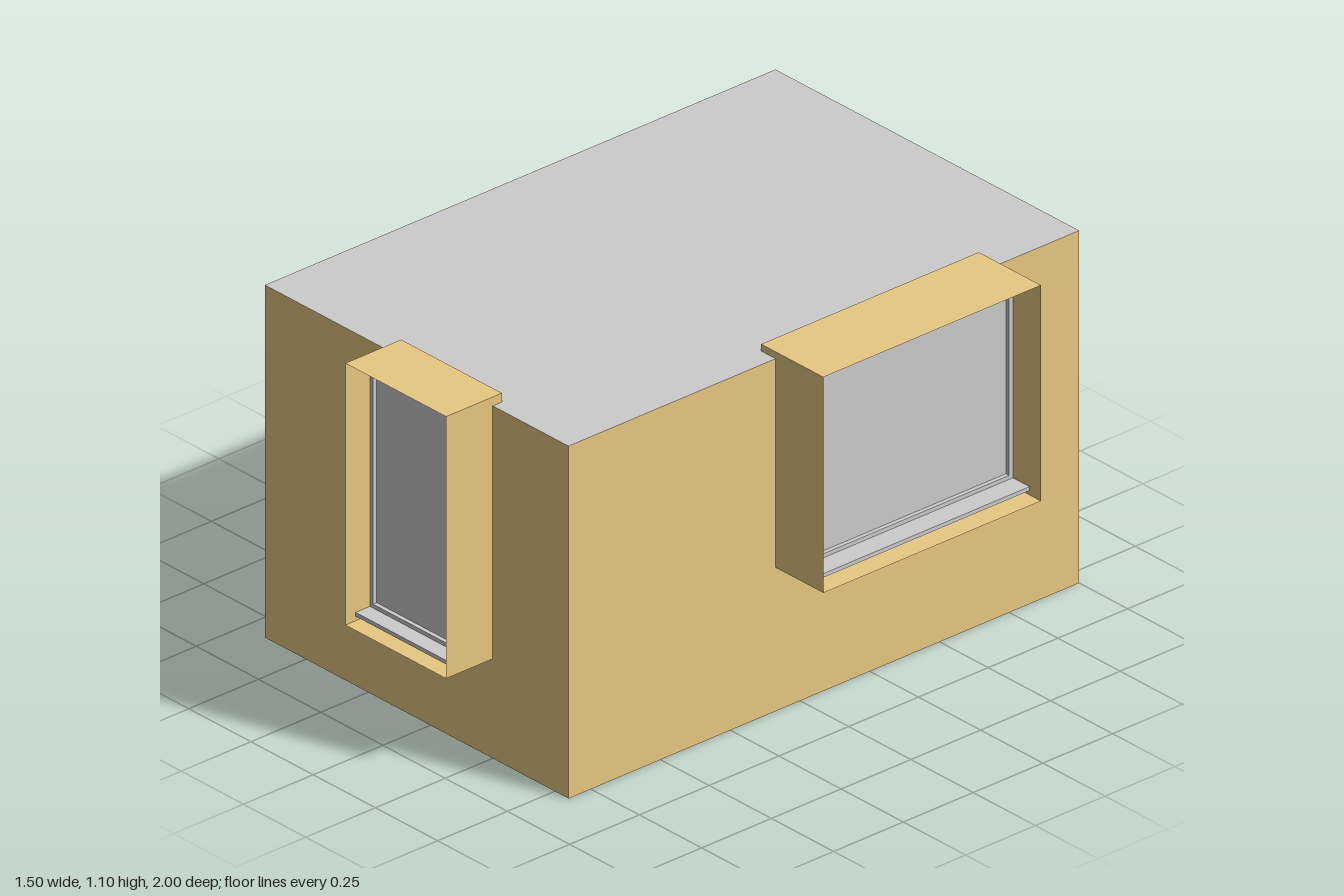
import * as THREE from 'three';

const tan = new THREE.MeshStandardMaterial({ color: 0xe8c882 });
const tanSheet = new THREE.MeshStandardMaterial({ color: 0xe8c882, side: THREE.DoubleSide });
const grey = new THREE.MeshStandardMaterial({ color: 0xcccccc });
const greySheet = new THREE.MeshStandardMaterial({ color: 0xcccccc, side: THREE.DoubleSide });
const green = new THREE.MeshStandardMaterial({ color: 0x68dc22 });

// Box given by its two extreme corners
function box(parent, name, [x0, y0, z0], [x1, y1, z1], material) {
  const mesh = new THREE.Mesh(new THREE.BoxGeometry(x1 - x0, y1 - y0, z1 - z0), material);
  mesh.position.set((x0 + x1) / 2, (y0 + y1) / 2, (z0 + z1) / 2);
  mesh.name = name;
  parent.add(mesh);
  return mesh;
}

// Thin sheet facing x, y or z; u and v are its sizes across
function sheet(parent, name, axis, u, v, position, material) {
  const mesh = new THREE.Mesh(new THREE.PlaneGeometry(u, v), material);
  if (axis === 'x') mesh.rotation.y = Math.PI / 2;
  if (axis === 'y') mesh.rotation.x = -Math.PI / 2;
  mesh.position.set(...position);
  mesh.name = name;
  parent.add(mesh);
}

// Four slim bars around an opening of half width w, in the depth range z0..z1
function frame(parent, name, w, h, t, z0, z1, y0 = 0) {
  for (const s of [-1, 1]) {
    box(parent, name + 'Side', [s > 0 ? w - t : -w, y0, z0], [s > 0 ? w : -w + t, h, z1], grey);
  }
  box(parent, name + 'Top', [-w + t, h - t, z0], [w - t, h, z1], grey);
}

// Projecting window surround: outward is +z, d is its full depth, wall the wall's depth
function windowBay(name, width, height, d, wall) {
  const bay = new THREE.Group();
  bay.name = name;
  const w = width / 2;
  const glassZ = d * 0.5, fasciaZ = d * 0.6, noseZ = d * 0.82;
  for (const s of [-1, 1]) {
    sheet(bay, 'sidePanel', 'x', d, height, [s * w, height / 2, d / 2], tanSheet);
  }
  sheet(bay, 'canopy', 'y', width, d, [0, height, d / 2], tanSheet);
  sheet(bay, 'canopyBack', 'z', width, 0.025, [0, height - 0.0125, 0], tanSheet);
  sheet(bay, 'bottomPanel', 'y', width, d - fasciaZ, [0, 0, (d + fasciaZ) / 2], tanSheet);

  sheet(bay, 'pane', 'z', width, height, [0, height / 2, glassZ], greySheet);
  frame(bay, 'paneFrame', w - 0.001, height - 0.001, 0.013, glassZ, glassZ + 0.013, 0.025);
  box(bay, 'paneFrameBottom', [-w + 0.014, 0.025, glassZ], [w - 0.014, 0.038, glassZ + 0.013], grey);

  // Sill with a nose over its lower fascia
  box(bay, 'sillBase', [-w + 0.001, 0, wall], [w - 0.001, 0.014, fasciaZ], grey);
  box(bay, 'sill', [-w + 0.001, 0.014, wall], [w - 0.001, 0.026, noseZ], grey);
  return bay;
}

// Door in a shallow surround: outward is +z, the wall is at z = 0
function doorway(width, height, d) {
  const door = new THREE.Group();
  door.name = 'doorway';
  const w = width / 2;
  for (const s of [-1, 1]) {
    sheet(door, 'jambPanel', 'x', d, height, [s * w, height / 2, d / 2], tanSheet);
  }
  sheet(door, 'headPanel', 'y', width, d, [0, height, d / 2], tanSheet);
  sheet(door, 'threshold', 'y', width, d, [0, 0, d / 2], tanSheet);
  frame(door, 'doorFrame', w + 0.001, height + 0.001, 0.022, 0.025, 0.064, 0.001);
  box(door, 'doorLeaf', [-w + 0.021, 0.003, 0.02], [w - 0.021, height - 0.021, 0.042], grey);

  // Lever handle
  const rose = new THREE.Mesh(new THREE.CylinderGeometry(0.012, 0.012, 0.006, 16), grey);
  rose.rotation.x = Math.PI / 2;
  rose.position.set(w - 0.055, 0.45, 0.045);
  rose.name = 'handleRose';
  const stem = new THREE.Mesh(new THREE.CylinderGeometry(0.005, 0.005, 0.026, 12), grey);
  stem.rotation.x = Math.PI / 2;
  stem.position.set(w - 0.055, 0.45, 0.055);
  stem.name = 'handleStem';
  door.add(rose, stem);
  box(door, 'handleLever', [w - 0.105, 0.445, 0.062], [w - 0.05, 0.455, 0.07], grey);
  return door;
}

export function createModel() {
  const model = new THREE.Group();
  model.name = 'room';

  // Tan walls, grey roof, green underside
  box(model, 'roomBody', [-0.665, 0, -1], [0.555, 1.07, 0.83], [tan, tan, grey, green, tan, tan]);

  const front = windowBay('frontWindow', 0.405, 0.795, 0.2, 0.035);
  front.position.set(0.048, 0.302, 0.797);
  model.add(front);

  const side = windowBay('sideWindow', 0.78, 0.655, 0.25, 0.06);
  side.rotation.y = Math.PI / 2;
  side.position.set(0.497, 0.436, -0.302);
  model.add(side);

  const door = doorway(0.387, 0.91, 0.085);
  door.rotation.y = -Math.PI / 2;
  door.position.set(-0.665, 0.02, -0.758);
  model.add(door);

  return model;
}
